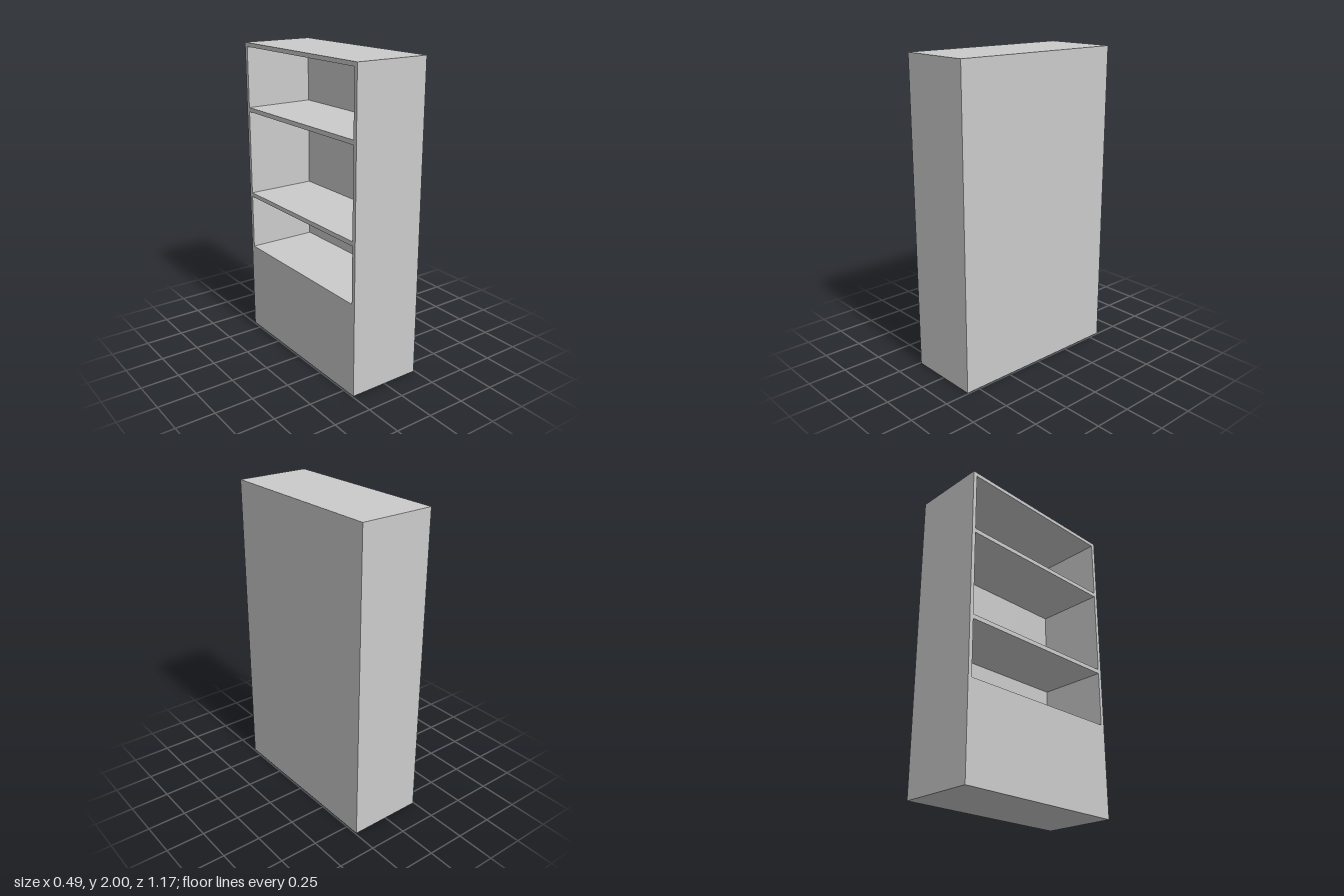
import * as THREE from 'three';

const HEIGHT = 2, WIDTH = 1.17, DEPTH = 0.486; // width runs along z, depth along x
const BOARD = 0.026, BACK = 0.018;

// Rectangle outline, centred across the width, between two heights
function outline(PathType, width, bottom, top) {
  const w = width / 2;
  const path = new PathType();
  path.moveTo(-w, bottom);
  path.lineTo(w, bottom);
  path.lineTo(w, top);
  path.lineTo(-w, top);
  path.closePath();
  return path;
}

export function createModel() {
  const group = new THREE.Group();
  group.name = 'bookcase';
  const material = new THREE.MeshStandardMaterial({ color: 0xcccccc });

  // Carcass: sides, top, shelves and closed base, open towards -x
  const shape = outline(THREE.Shape, WIDTH, 0, HEIGHT);
  const compartments = [[0.605, 0.968], [0.996, 1.554], [1.582, HEIGHT - BOARD]];
  for (const [bottom, top] of compartments) {
    shape.holes.push(outline(THREE.Path, WIDTH - 2 * BOARD, bottom, top));
  }
  const carcassGeometry = new THREE.ExtrudeGeometry(shape, { depth: DEPTH - BACK, bevelEnabled: false });
  carcassGeometry.rotateY(-Math.PI / 2);
  carcassGeometry.translate(DEPTH / 2 - BACK, 0, 0);
  const carcass = new THREE.Mesh(carcassGeometry, material);
  carcass.name = 'carcassWithShelves';
  group.add(carcass);

  // Thin panel closing the +x side
  const backPanel = new THREE.Mesh(new THREE.BoxGeometry(BACK, HEIGHT, WIDTH), material);
  backPanel.name = 'backPanel';
  backPanel.position.set(DEPTH / 2 - BACK / 2, HEIGHT / 2, 0);
  group.add(backPanel);

  return group;
}
